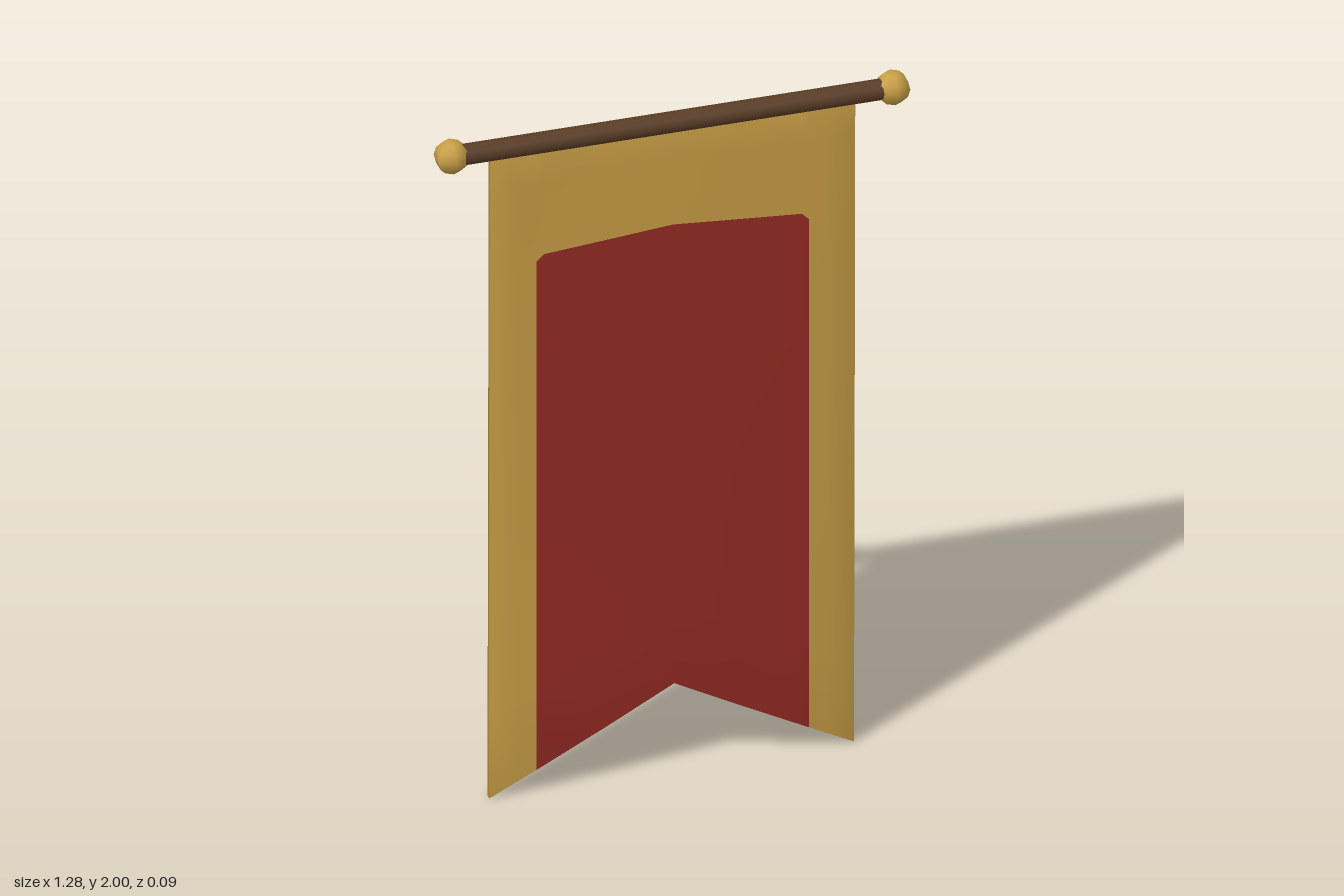
import * as THREE from 'three';

const gold = new THREE.MeshStandardMaterial({ color: 0xc99f46 });
gold.name = 'gold';
const red = new THREE.MeshStandardMaterial({ color: 0x962b24 });
red.name = 'red';
const wood = new THREE.MeshStandardMaterial({ color: 0x5a3d26 });
wood.name = 'darkWood';

const TOP = 1.95, HALF = 0.495, PANEL = 0.37;

// Height of the red panel's arched top edge
function panelTop(x) {
  const a = Math.abs(x);
  return a > 0.35 ? 1.6 + 0.02 * Math.max(0, (PANEL - a) / 0.02) : 1.65 - 0.03 * a / 0.35;
}

// Thick, slightly bulging cloth with a swallowtail cut
function clothGeometry() {
  const half = [0.35, 0.175];
  const xs = [-HALF, -0.42, -PANEL, ...half.map(v => -v), 0, ...half.reverse(), PANEL, 0.42, HALF];
  const upper = 3, lower = 6, rows = upper + lower, cols = xs.length - 1;
  const pos = [], thick = 0.008, layer = (rows + 1) * (cols + 1);
  for (const side of [1, -1]) {
    for (let r = 0; r <= rows; r++) {
      for (const x of xs) {
        const mid = panelTop(x), end = 0.275 * (1 - Math.abs(x) / HALF);
        const y = r <= upper ? TOP + (mid - TOP) * r / upper : mid + (end - mid) * (r - upper) / lower;
        const drop = (TOP - y) / TOP;
        const bulge = drop * (0.015 - 0.026 * Math.pow(Math.abs(x) / HALF, 1.5));
        pos.push(x, y, bulge + side * thick);
      }
    }
  }
  const id = (c, r) => r * (cols + 1) + c;
  const faces = [[], []];
  const quad = (m, a, b, c, d) => faces[m].push(a, b, c, a, c, d);
  for (let r = 0; r < rows; r++) {
    for (let c = 0; c < cols; c++) {
      const m = r >= upper && xs[c] >= -PANEL && xs[c + 1] <= PANEL ? 1 : 0;
      const q = [id(c, r), id(c, r + 1), id(c + 1, r + 1), id(c + 1, r)];
      quad(m, ...q);
      quad(m, ...q.reverse().map(i => i + layer));
    }
  }
  // Rim joining front and back
  const rim = [];
  for (let r = 0; r < rows; r++) rim.push(id(0, r));
  for (let c = 0; c < cols; c++) rim.push(id(c, rows));
  for (let r = rows; r > 0; r--) rim.push(id(cols, r));
  for (let c = cols; c > 0; c--) rim.push(id(c, 0));
  rim.forEach((p, i) => {
    const q = rim[(i + 1) % rim.length];
    quad(0, p, p + layer, q + layer, q);
  });
  const geo = new THREE.BufferGeometry();
  geo.setAttribute('position', new THREE.Float32BufferAttribute(pos, 3));
  geo.setIndex([...faces[0], ...faces[1]]);
  geo.addGroup(0, faces[0].length, 0);
  geo.addGroup(faces[0].length, faces[1].length, 1);
  geo.computeVertexNormals();
  return geo;
}

// Eight-pointed star plate
function starGeometry() {
  const shape = new THREE.Shape();
  for (let i = 0; i < 16; i++) {
    const a = Math.PI / 2 + i * Math.PI / 8, r = i % 2 ? 0.128 : 0.285;
    shape[i ? 'lineTo' : 'moveTo'](r * Math.cos(a), r * Math.sin(a));
  }
  shape.closePath();
  return new THREE.ExtrudeGeometry(shape, { depth: 0.022, bevelEnabled: false });
}

export function createModel() {
  const group = new THREE.Group();
  const add = (name, geo, mat, x, y, z) => {
    const mesh = new THREE.Mesh(geo, mat);
    mesh.name = name;
    mesh.position.set(x, y, z);
    group.add(mesh);
    return mesh;
  };

  add('cloth', clothGeometry(), [gold, red], 0, 0, 0);
  add('backStar', starGeometry(), gold, 0, 1.185, -0.026);

  // Hanging rod and its end knobs
  add('rod', new THREE.CylinderGeometry(0.029, 0.029, 1.2, 10), wood, 0, 1.953, 0).rotation.z = Math.PI / 2;
  for (const s of [1, -1]) {
    const knob = add(s > 0 ? 'leftKnob' : 'rightKnob', new THREE.SphereGeometry(0.047, 6, 6), gold, s * 0.599, 1.953, 0);
    knob.rotation.y = Math.PI / 6;
  }
  return group;
}
